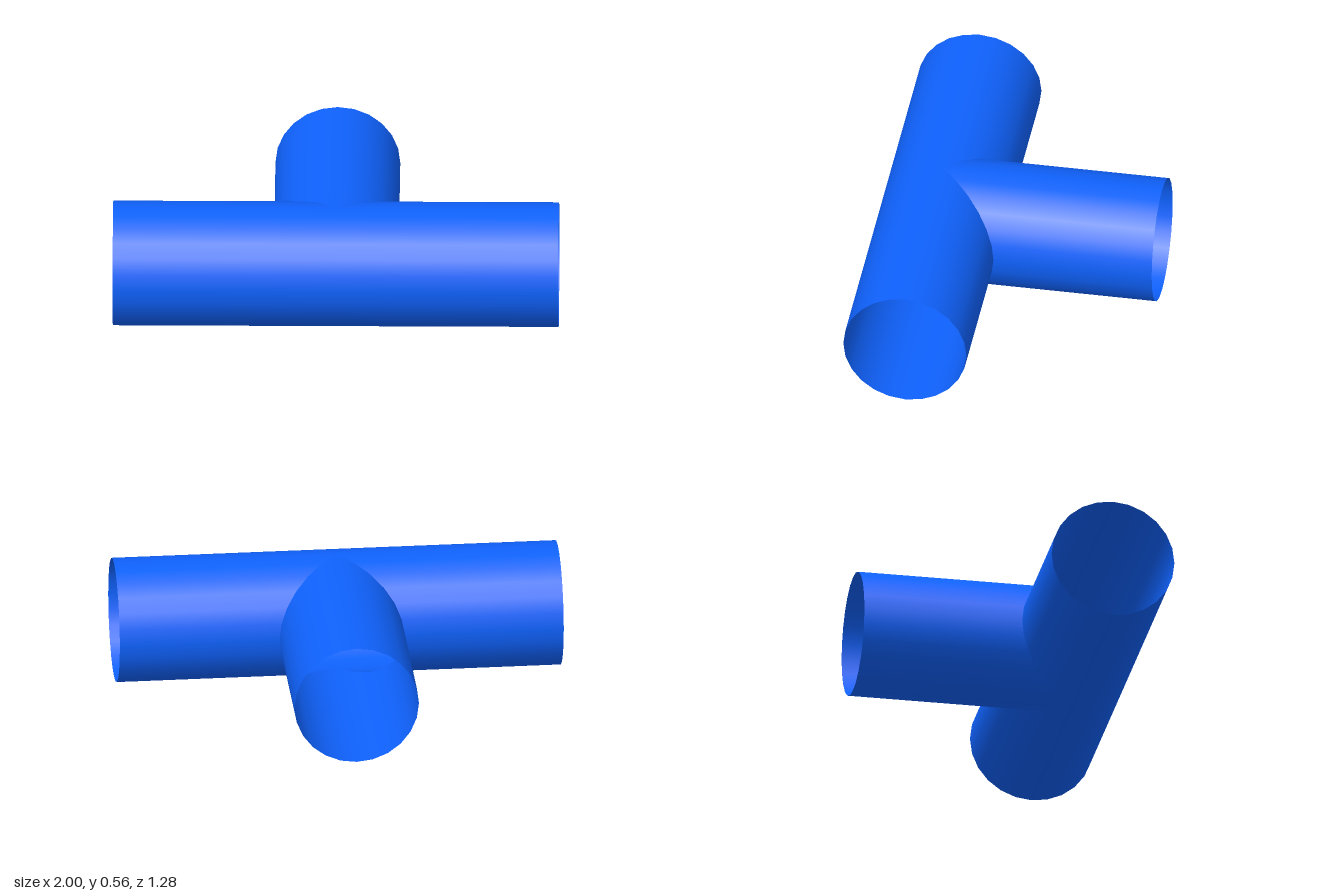
import * as THREE from 'three';

const RADIUS = 0.28;
const SIDES = 24;
const LENGTH = 1;

const material = new THREE.MeshStandardMaterial({ color: 0x0f62fe, side: THREE.DoubleSide });

// Open pipe along local +y whose inner end is mitred to the height trim(x, z)
function pipeArm(name, trim) {
  const geometry = new THREE.CylinderGeometry(RADIUS, RADIUS, LENGTH, SIDES, 1, true);
  geometry.translate(0, LENGTH / 2, 0);
  const p = geometry.attributes.position;
  for (let i = 0; i < p.count; i++) {
    if (p.getY(i) < LENGTH / 2) p.setY(i, trim(p.getX(i), p.getZ(i)));
  }
  const mesh = new THREE.Mesh(geometry, material);
  mesh.name = name;
  return mesh;
}

export function createModel() {
  const tee = new THREE.Group();
  tee.name = 'pipeTee';

  // Straight run: two arms meeting at x = 0, cut back where the branch enters
  for (const side of [1, -1]) {
    const arm = pipeArm(side > 0 ? 'leftArm' : 'rightArm', (x, z) => Math.max(0, -z));
    arm.rotation.z = -side * Math.PI / 2;
    tee.add(arm);
  }

  // Branch to the back, with a pointed mitre fitting the run
  const branch = pipeArm('branch', (x) => Math.abs(x));
  branch.rotation.x = -Math.PI / 2;
  tee.add(branch);

  tee.position.set(0, RADIUS, (LENGTH - RADIUS) / 2);
  const model = new THREE.Group();
  model.add(tee);
  return model;
}
